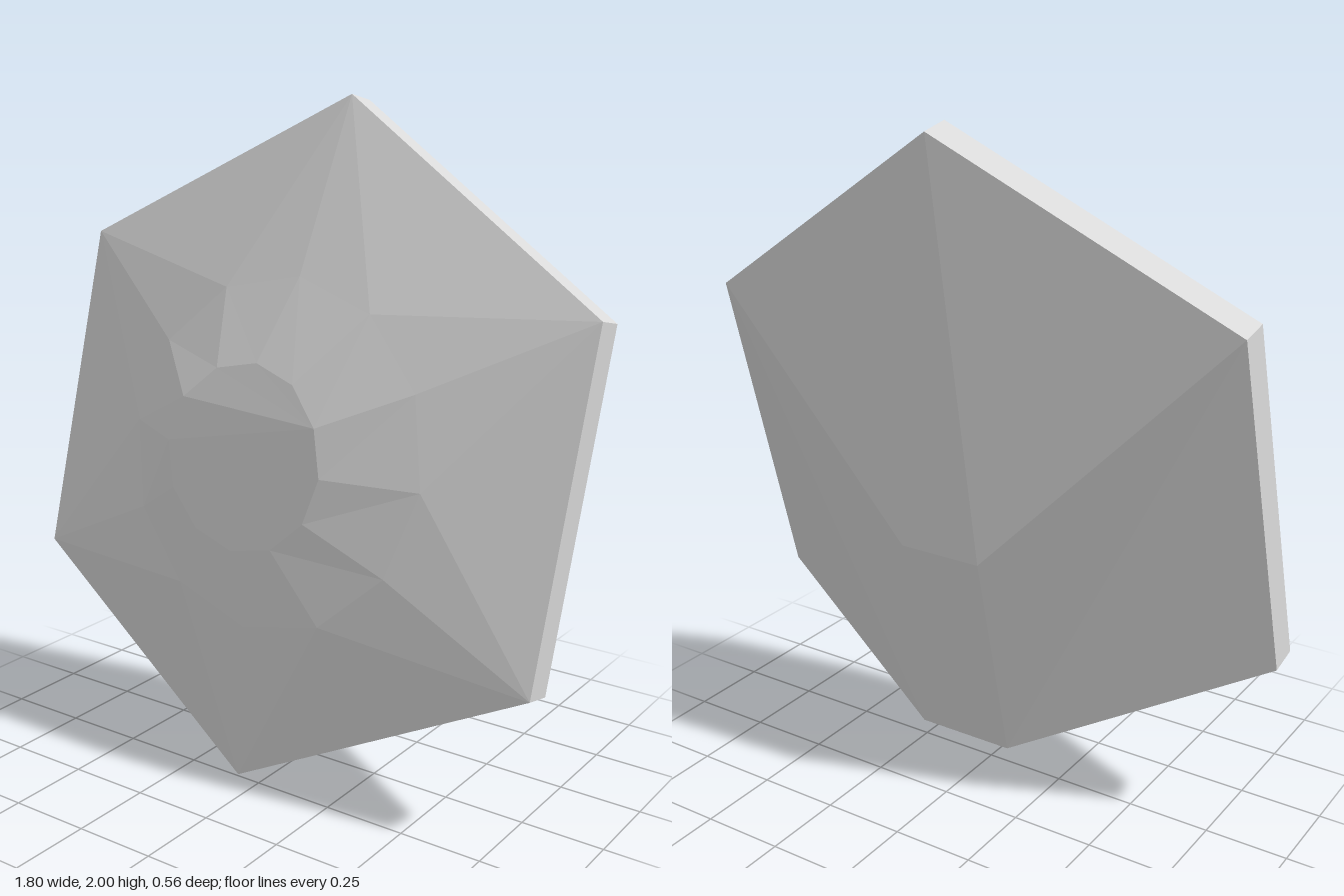
import * as THREE from 'three';

const stone = new THREE.MeshStandardMaterial({ color: 0xd8d8d8 });
stone.name = 'pale grey stone';

// Corners of the tilted hexagon, clockwise from the top as seen from the front
const rim = [
  [0.05, 2.0, -0.15], [0.9, 1.46, -0.03], [0.845, 0.47, 0.18],
  [-0.06, 0.022, 0.272], [-0.905, 0.565, 0.155], [-0.848, 1.555, -0.06],
];
const back = rim.map(([x, y, z]) => [x, y - 0.02, z - 0.092]);

function makeMesh(name, points, faces) {
  const indexed = new THREE.BufferGeometry();
  indexed.setAttribute('position', new THREE.Float32BufferAttribute(points.flat(), 3));
  indexed.setIndex(faces.flat());
  const geo = indexed.toNonIndexed(); // separate corners give flat facets
  geo.computeVertexNormals();
  const mesh = new THREE.Mesh(geo, stone);
  mesh.name = name;
  return mesh;
}

// Shallow dome: an outer ring, then a round plateau whose upper right corner is the peak
function makeFrontDome() {
  const points = [...rim];
  const rings = [
    { radius: 0.5, cx: 0, cy: 1.01, height: () => 0.118 },
    { radius: 0.27, cx: -0.06, cy: 1.0, height: (y) => 0.188 - 0.08 * Math.abs(y - 1.13) },
  ];
  for (const { radius, cx, cy, height } of rings) {
    for (let j = 0; j < 12; j++) {
      const a = THREE.MathUtils.degToRad(87 - 30 * j);
      const y = cy + radius * Math.sin(a);
      points.push([cx + radius * Math.cos(a), y, 0.06 - 0.213 * (y - 1.01) + height(y)]);
    }
  }
  const outer = (j) => 6 + ((j + 12) % 12);
  const inner = (j) => 18 + ((j + 12) % 12);
  const faces = [];
  for (let k = 0; k < 6; k++) {
    faces.push([k, outer(2 * k), outer(2 * k - 1)]);
    faces.push([k, outer(2 * k + 1), outer(2 * k)]);
    faces.push([k, (k + 1) % 6, outer(2 * k + 1)]);
  }
  for (let j = 0; j < 12; j++) {
    faces.push([outer(j), outer(j + 1), inner(j + 1)], [outer(j), inner(j + 1), inner(j)]);
  }
  // Plateau fans out from the peak
  for (let j = 3; j < 13; j++) faces.push([inner(2), inner(j), inner(j + 1)]);
  // Clockwise order is reversed so the faces look forward
  return makeMesh('frontDome', points, faces.map(([a, b, c]) => [a, c, b]));
}

// Narrow band joining the front hexagon to the back hexagon
function makeEdgeBand() {
  const faces = [];
  for (let k = 0; k < 6; k++) {
    const n = (k + 1) % 6;
    faces.push([k, n, k + 6], [n, n + 6, k + 6]);
  }
  return makeMesh('edgeBand', [...rim, ...back], faces);
}

// Faceted back around a narrow raised spine
function makeBackFacets() {
  const points = [
    ...back,
    [0.125, 0.8, -0.277], [-0.135, 0.8, -0.277], // 6, 7 spine top
    [0.145, 0.16, -0.157], [-0.16, 0.16, -0.157], // 8, 9 spine foot
  ];
  const faces = [
    [0, 6, 7], [0, 1, 6], [1, 8, 6], [1, 2, 8], [2, 3, 8],
    [3, 9, 8], [3, 4, 9], [4, 5, 9], [5, 7, 9], [5, 0, 7],
    [6, 8, 7], [7, 8, 9],
  ];
  // Orient every facet away from the middle of the body
  const middle = new THREE.Vector3(0, 1, 0.05);
  const v = points.map((p) => new THREE.Vector3(...p));
  const oriented = faces.map(([a, b, c]) => {
    const normal = v[b].clone().sub(v[a]).cross(v[c].clone().sub(v[a]));
    return normal.dot(v[a].clone().sub(middle)) > 0 ? [a, b, c] : [a, c, b];
  });
  return makeMesh('backFacets', points, oriented);
}

export function createModel() {
  const group = new THREE.Group();
  group.name = 'hexagonalStone';
  group.add(makeFrontDome(), makeEdgeBand(), makeBackFacets());
  return group;
}
